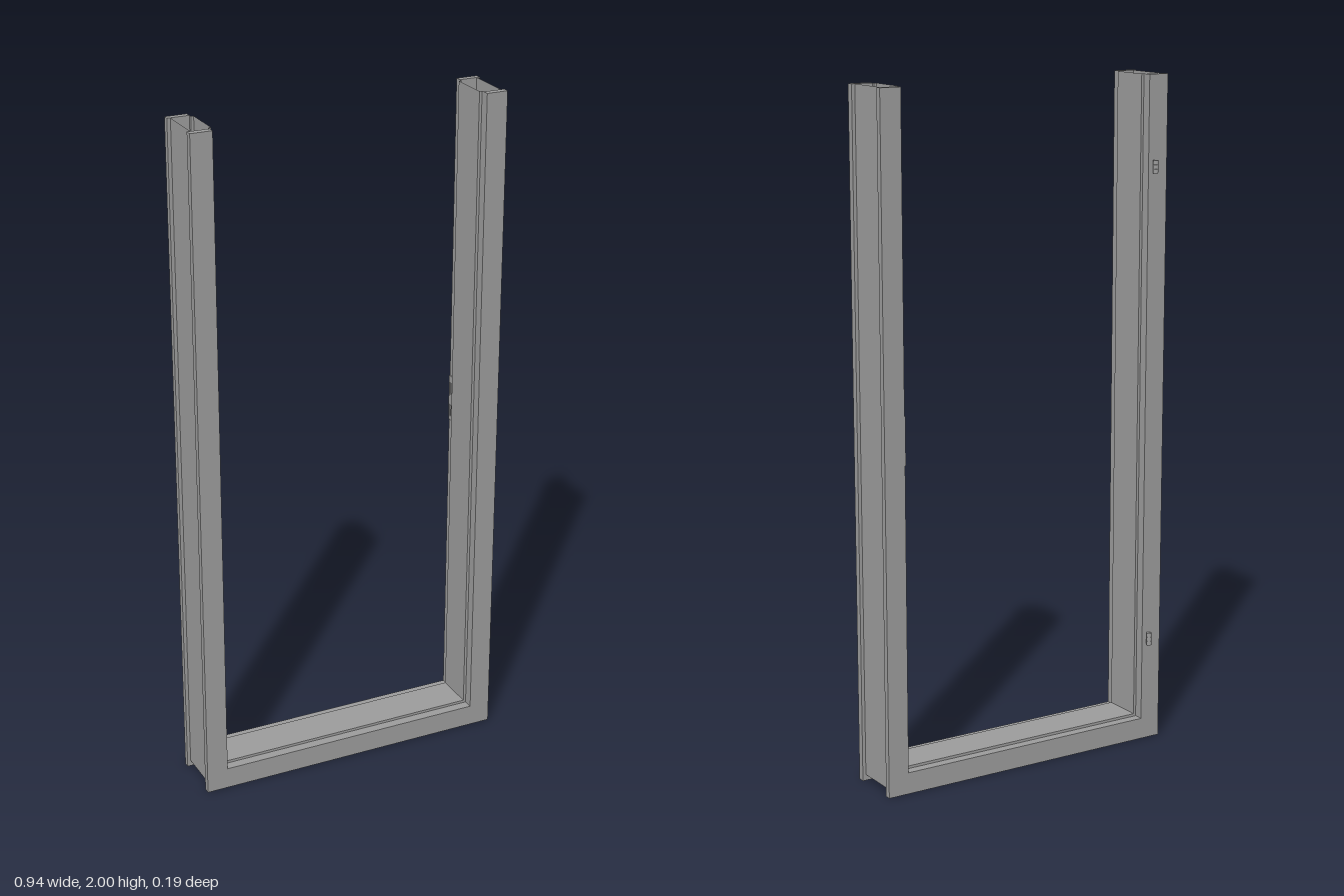
import * as THREE from 'three';

const HALF = 0.47, TOP = 2, FACE = 0.064;
const mat = new THREE.MeshStandardMaterial({ color: 0x9b9b9b, flatShading: true });
const sheetMat = new THREE.MeshStandardMaterial({ color: 0x9b9b9b, flatShading: true, side: THREE.DoubleSide });

function add(parent, name, geo, x = 0, y = 0, z = 0, material = mat) {
  const m = new THREE.Mesh(geo, material);
  m.name = name;
  m.position.set(x, y, z);
  parent.add(m);
}

// Sweep a profile of [inset, z, sillHeight] points round the U with mitred corners
function sweepU(profile) {
  const rows = profile.map(([d, z, y = d]) => {
    const x = HALF - d;
    return [[-x, TOP, z], [-x, y, z], [x, y, z], [x, TOP, z]];
  });
  const pos = [];
  for (let i = 0; i < rows.length - 1; i++) {
    const a = rows[i], b = rows[i + 1];
    for (let j = 0; j < 3; j++) {
      pos.push(...a[j], ...b[j], ...a[j + 1], ...b[j], ...b[j + 1], ...a[j + 1]);
    }
  }
  const geo = new THREE.BufferGeometry();
  geo.setAttribute('position', new THREE.Float32BufferAttribute(pos, 3));
  geo.computeVertexNormals();
  return geo;
}

export function createModel() {
  const group = new THREE.Group();

  // Front and back casings with closed upper ends
  const casings = [['frontCasing', 0.097, 0.077], ['backCasing', -0.06, -0.078]];
  for (const [name, zf, zb] of casings) {
    const casing = new THREE.Group();
    casing.name = name;
    group.add(casing);
    add(casing, name + 'Faces', sweepU([[0, zf], [0, zb], [FACE, zb], [FACE, zf], [0, zf]]));
    for (const s of [-1, 1]) {
      const end = new THREE.PlaneGeometry(FACE, zf - zb).rotateX(-Math.PI / 2);
      add(casing, name + 'End', end, s * (HALF - FACE / 2), TOP, (zf + zb) / 2);
    }
  }

  // Hollow sheet jamb, open at the top: recessed outer wall, inner lining with a raised stop
  const outerWall = sweepU([[0.01, 0.077, 0.018], [0.01, -0.06, 0.018]]);
  add(group, 'jambOuterWall', outerWall, 0, 0, 0, sheetMat);
  const lining = sweepU([
    [FACE, -0.06], [FACE, -0.05], [0.072, -0.05],
    [0.072, 0.068], [FACE, 0.068], [FACE, 0.077],
  ]);
  add(group, 'jambLining', lining, 0, 0, 0, sheetMat);

  // Hinges: three knuckles, a pin and a short leaf
  for (const y of [0.318, 1.738]) {
    const hinge = new THREE.Group();
    hinge.name = 'hinge';
    hinge.position.set(-0.423, y, -0.0895);
    group.add(hinge);
    for (const k of [-1, 0, 1]) {
      add(hinge, 'knuckle', new THREE.CylinderGeometry(0.0075, 0.0075, 0.012, 16), 0, k * 0.0128, 0);
    }
    add(hinge, 'pin', new THREE.CylinderGeometry(0.005, 0.005, 0.038, 12));
    add(hinge, 'leaf', new THREE.BoxGeometry(0.003, 0.036, 0.012), 0, 0, 0.006);
  }

  // Strike plate with two openings, on the left rebate
  const plate = new THREE.Shape();
  plate.moveTo(-0.009, -0.07).lineTo(0.009, -0.07).lineTo(0.009, 0.07).lineTo(-0.009, 0.07).closePath();
  for (const y of [-0.04, 0.03]) {
    const hole = new THREE.Path();
    hole.moveTo(-0.005, y - 0.018).lineTo(-0.005, y + 0.018).lineTo(0.005, y + 0.018).lineTo(0.005, y - 0.018).closePath();
    plate.holes.push(hole);
  }
  const plateGeo = new THREE.ExtrudeGeometry(plate, { depth: 0.003, bevelEnabled: false });
  add(group, 'strikePlate', plateGeo.rotateY(-Math.PI / 2), HALF - FACE, 1.034, -0.068);

  return group;
}
